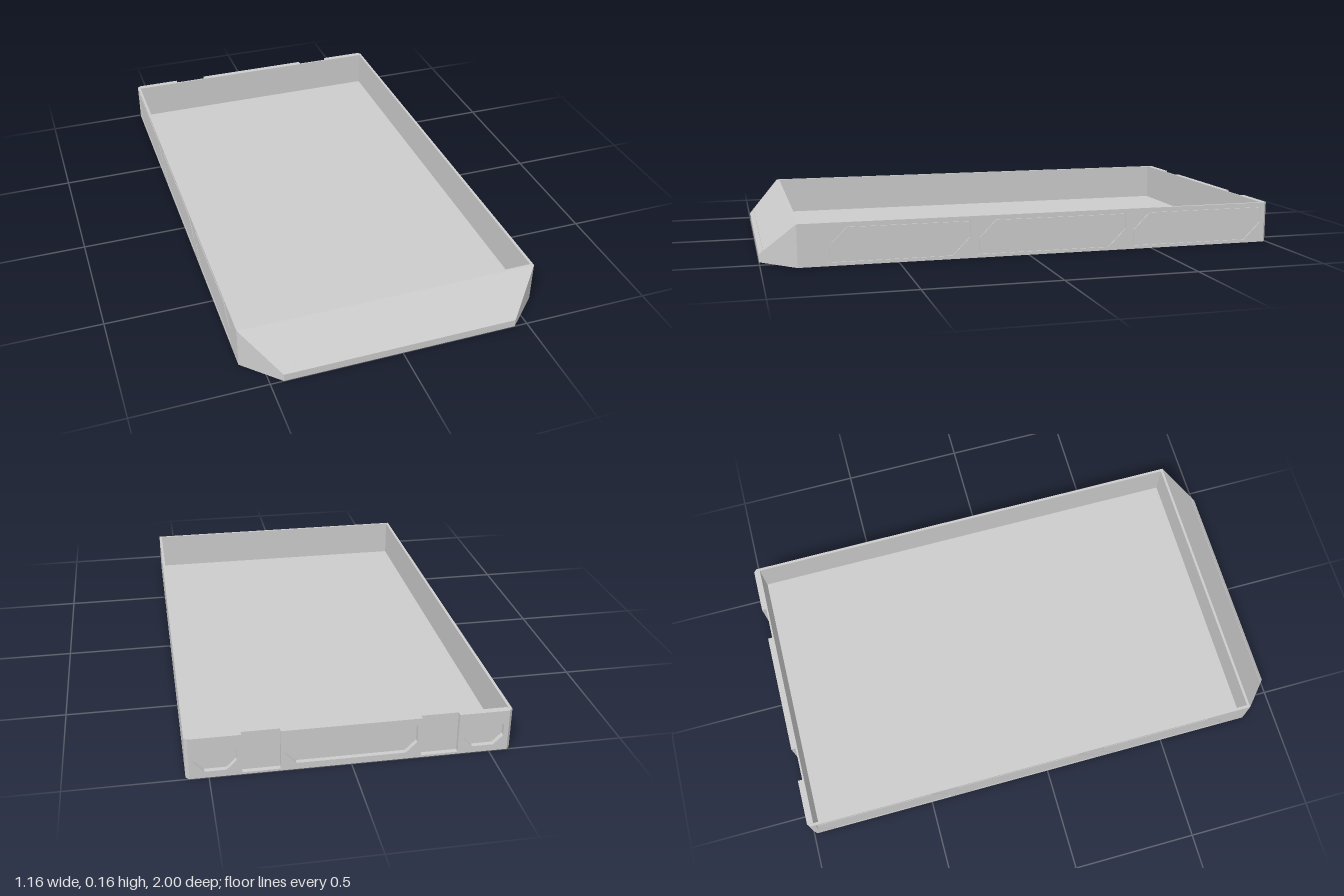
import * as THREE from 'three';

const material = new THREE.MeshStandardMaterial({ color: 0xcccccc, flatShading: true, side: THREE.DoubleSide });
const W = 0.58, H = 0.16, BACK = -1, FRONT = 0.87, FLOOR = 0.008;
const CORNER = 0.012; // small bevel on the rear corners

const points = (list) => list.map(([x, y]) => new THREE.Vector2(x, y));

// Flat plate with optional holes, extruded along +z
function plate(outline, depth, holes = []) {
  const shape = new THREE.Shape(points(outline));
  holes.forEach((h) => shape.holes.push(new THREE.Path(points(h))));
  return new THREE.ExtrudeGeometry(shape, { depth, bevelEnabled: false });
}

const rect = (x0, y0, x1, y1) => [[x0, y0], [x1, y0], [x1, y1], [x0, y1]];

// Rectangle with cut corners: lower ones by b, upper ones by t
const cutRect = (x0, y0, x1, y1, b, t) => [
  [x0 + b, y0], [x1 - b, y0], [x1, y0 + b], [x1, y1 - t],
  [x1 - t, y1], [x0 + t, y1], [x0, y1 - t], [x0, y0 + b],
];

// Side panel outline, front-top and back-bottom corners cut (first coordinate is -z)
function panelOutline(zFront, zBack, inset) {
  const a = -zFront + inset, b = -zBack - inset;
  const y0 = 0.013 + inset, y1 = 0.148 - inset, c = 0.068 - inset * 0.586;
  return [[a, y0], [b - c, y0], [b, y0 + c], [b, y1], [a + c, y1], [a, y1 - c]];
}

// Surface from a list of four-cornered faces
function quads(faces) {
  const pos = [];
  faces.forEach(([a, b, c, d]) => [a, b, c, a, c, d].forEach((p) => pos.push(...p)));
  const geo = new THREE.BufferGeometry();
  geo.setAttribute('position', new THREE.Float32BufferAttribute(pos, 3));
  geo.computeVertexNormals();
  return geo;
}

function add(parent, name, geometry, x = 0, y = 0, z = 0) {
  const mesh = new THREE.Mesh(geometry, material);
  mesh.name = name;
  mesh.position.set(x, y, z);
  parent.add(mesh);
  return mesh;
}

// Side wall: inner skin, outer skin with cut-outs, panels leaving a fine groove
function sideWall() {
  const side = new THREE.Group();
  const ends = rect(-FRONT, FLOOR, -BACK - CORNER, H);
  const spans = [[0.76, 0.23], [0.2, -0.39], [-0.42, -0.97]];
  const turn = (geo) => geo.rotateY(Math.PI / 2);
  add(side, 'sideInnerSkin', turn(plate(ends, 0.006)), W - 0.011);
  add(side, 'sideOuterSkin', turn(plate(ends, 0.005, spans.map(([a, b]) => panelOutline(a, b, 0)))), W - 0.005);
  spans.forEach(([a, b]) => add(side, 'sidePanel', turn(plate(panelOutline(a, b, 0.007), 0.005)), W - 0.005));
  // Bevelled rear corner
  const post = plate([[W - CORNER, -BACK], [W, -BACK - CORNER], [W - CORNER, -BACK - CORNER]], H - FLOOR);
  add(side, 'rearCornerBevel', post.rotateX(-Math.PI / 2), 0, FLOOR, 0);
  return side;
}

// Rear wall: full inner skin, then an outer layer split by two vertical channels
function rearWall() {
  const rear = new THREE.Group();
  rear.name = 'rearWall';
  const depth = 0.018, edge = W - CORNER;
  add(rear, 'rearInnerSkin', plate(rect(-edge, FLOOR, edge, H), 0.007), 0, 0, BACK + depth);
  add(rear, 'rearHandleFrame',
    plate(rect(-0.25, FLOOR, 0.25, H), depth, [cutRect(-0.235, 0.025, 0.235, 0.135, 0.04, 0.004)]), 0, 0, BACK);
  for (const s of [-1, 1]) {
    const [x0, x1] = s > 0 ? [0.385, edge] : [-edge, -0.385];
    const hole = cutRect(x0 + 0.018, 0.025, x1 - 0.018, 0.138, 0.035, 0.035);
    add(rear, 'rearCornerFrame', plate(rect(x0, FLOOR, x1, H), depth, [hole]), 0, 0, BACK);
  }
  return rear;
}

// Hollow sloping nose, open underneath, with a shallow line along its lower edge
function nose() {
  const group = new THREE.Group();
  group.name = 'nose';
  const shell = (t) => {
    const xb = W - t * 1.4, xf = 0.45 - t * 0.4, zf = 1 - t, yt = H - t * 1.4, yl = 0.03 - t * 0.4;
    return { xb, xf, zf, yt, yl };
  };
  const corners = ({ xb, xf, zf, yt, yl }, s) => ({
    top: [s * xb, yt, FRONT], foot: [s * xb, 0, FRONT], lip: [s * xf, yl, zf], toe: [s * xf, 0, zf],
  });
  const o = shell(0), i = shell(0.01);
  const [oR, oL, iR, iL] = [corners(o, -1), corners(o, 1), corners(i, -1), corners(i, 1)];
  add(group, 'noseSkin', quads([
    [oR.lip, oL.lip, oL.top, oR.top], [oR.toe, oL.toe, oL.lip, oR.lip],
    [oL.toe, oL.foot, oL.top, oL.lip], [oR.foot, oR.toe, oR.lip, oR.top],
  ]));
  add(group, 'noseLining', quads([
    [iR.top, iL.top, iL.lip, iR.lip], [iR.lip, iL.lip, iL.toe, iR.toe],
    [iL.lip, iL.top, iL.foot, iL.toe], [iR.top, iR.lip, iR.toe, iR.foot],
  ]));
  add(group, 'noseRim', quads([
    [oL.toe, oR.toe, iR.toe, iL.toe], [oL.foot, oL.toe, iL.toe, iL.foot], [oR.toe, oR.foot, iR.foot, iR.toe],
  ]));
  // Thin ridge just above the front lip
  const ridge = add(group, 'lipRidge', new THREE.BoxGeometry(0.93, 0.002, 0.003), 0, 0.045, 0.985);
  ridge.rotation.x = -Math.PI / 4;
  // Centre rib under the slope
  const rib = plate([[-FRONT, 0], [-0.99, 0], [-0.99, 0.026], [-FRONT, 0.146]], 0.012);
  add(group, 'centreRib', rib.rotateY(Math.PI / 2), -0.006);
  return group;
}

export function createModel() {
  const model = new THREE.Group();
  model.name = 'tray';

  // Floor, with the rear corners bevelled
  const c = CORNER;
  const floor = plate([[-W, -FRONT], [W, -FRONT], [W, 1 - c], [W - c, 1], [c - W, 1], [-W, 1 - c]], FLOOR);
  add(model, 'floor', floor.rotateX(-Math.PI / 2));

  // Front wall
  add(model, 'frontWall', new THREE.BoxGeometry(2 * (W - 0.011), H - FLOOR, 0.01), 0, (H + FLOOR) / 2, FRONT - 0.005);

  // Mirrored side walls
  for (const s of [1, -1]) {
    const side = sideWall();
    side.name = s > 0 ? 'leftWall' : 'rightWall';
    side.scale.x = s;
    model.add(side);
  }

  model.add(rearWall(), nose());
  return model;
}
